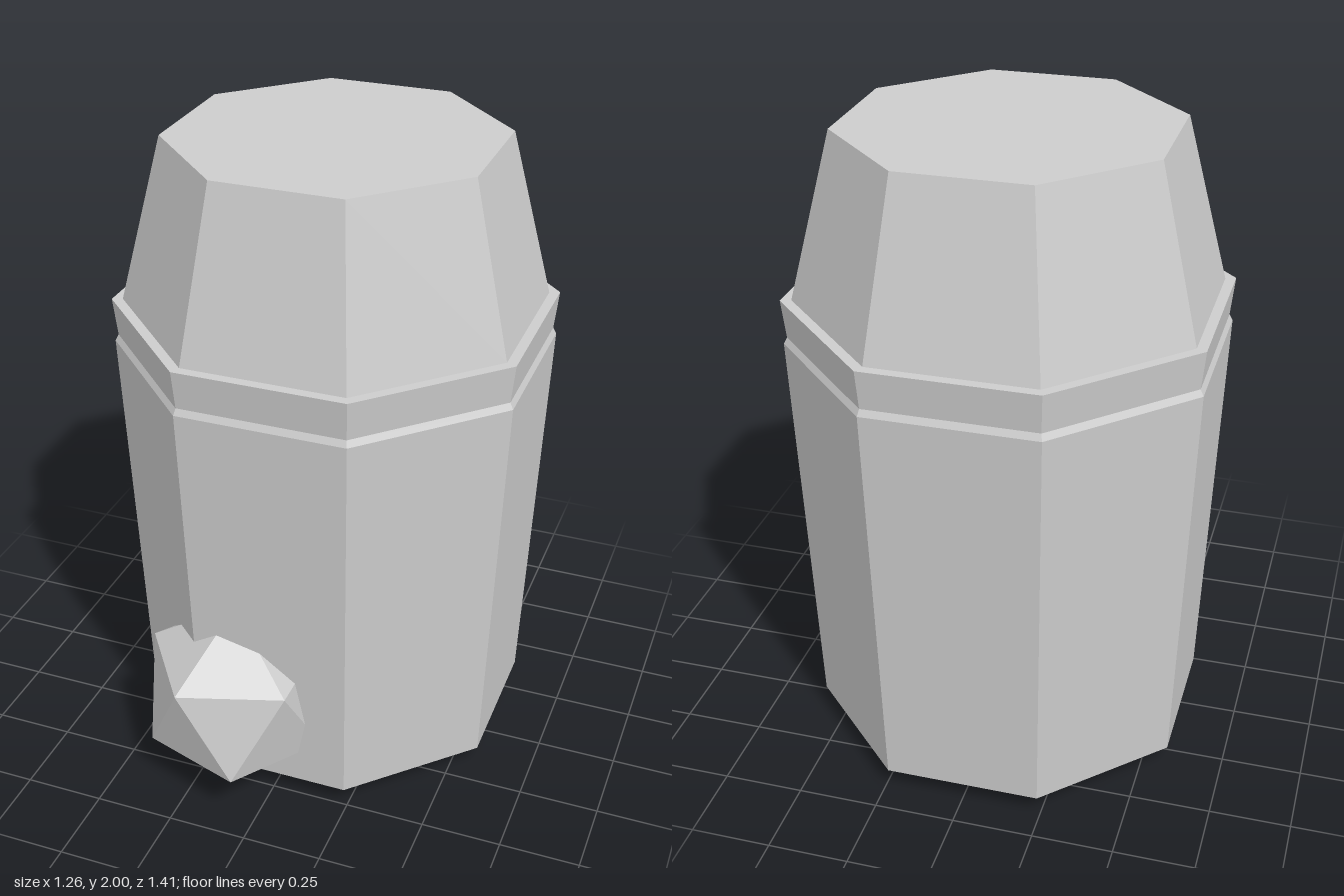
import * as THREE from 'three';
import { ConvexGeometry } from 'three/addons/geometries/ConvexGeometry.js';

const CENTER_Z = -0.075;

export function createModel() {
  const model = new THREE.Group();
  const grey = new THREE.MeshStandardMaterial({ color: 0xcccccc, flatShading: true });
  grey.name = 'light grey';

  // Octagonal shell with flats facing the axes; profile is [apothem, height] from bottom to top
  function octagon(name, profile) {
    const points = profile.map(([a, y]) => new THREE.Vector2(a / Math.cos(Math.PI / 8), y));
    const mesh = new THREE.Mesh(new THREE.LatheGeometry(points, 8, Math.PI / 8), grey);
    mesh.name = name;
    mesh.position.z = CENTER_Z;
    model.add(mesh);
  }

  // Tapered body with a closed base and a bevelled upper lip
  octagon('body', [[0, 0.063], [0.58, 0.063], [0.629, 1.345], [0.619, 1.365]]);
  // Rim with a narrow flat ledge around the lid
  octagon('rim', [[0.619, 1.365], [0.631, 1.485], [0.6, 1.485]]);
  // Tapered lid with a flat top
  octagon('lid', [[0.6, 1.485], [0.475, 2], [0, 2]]);

  // Twelve-cornered rock half sunk into the front of the body
  const r = 0.316, ring = (2 * r) / Math.sqrt(5);
  const corners = [new THREE.Vector3(0, r, 0), new THREE.Vector3(0, -r, 0)];
  for (let i = 0; i < 5; i++) {
    const a = (i * 2 * Math.PI) / 5;
    const x = ring * Math.cos(a), z = ring * Math.sin(a);
    corners.push(new THREE.Vector3(x, -ring / 2, z), new THREE.Vector3(-x, ring / 2, -z));
  }
  const rock = new THREE.Mesh(new ConvexGeometry(corners), grey);
  rock.name = 'rock';
  rock.position.set(-0.143, r, 0.44);
  model.add(rock);

  return model;
}
